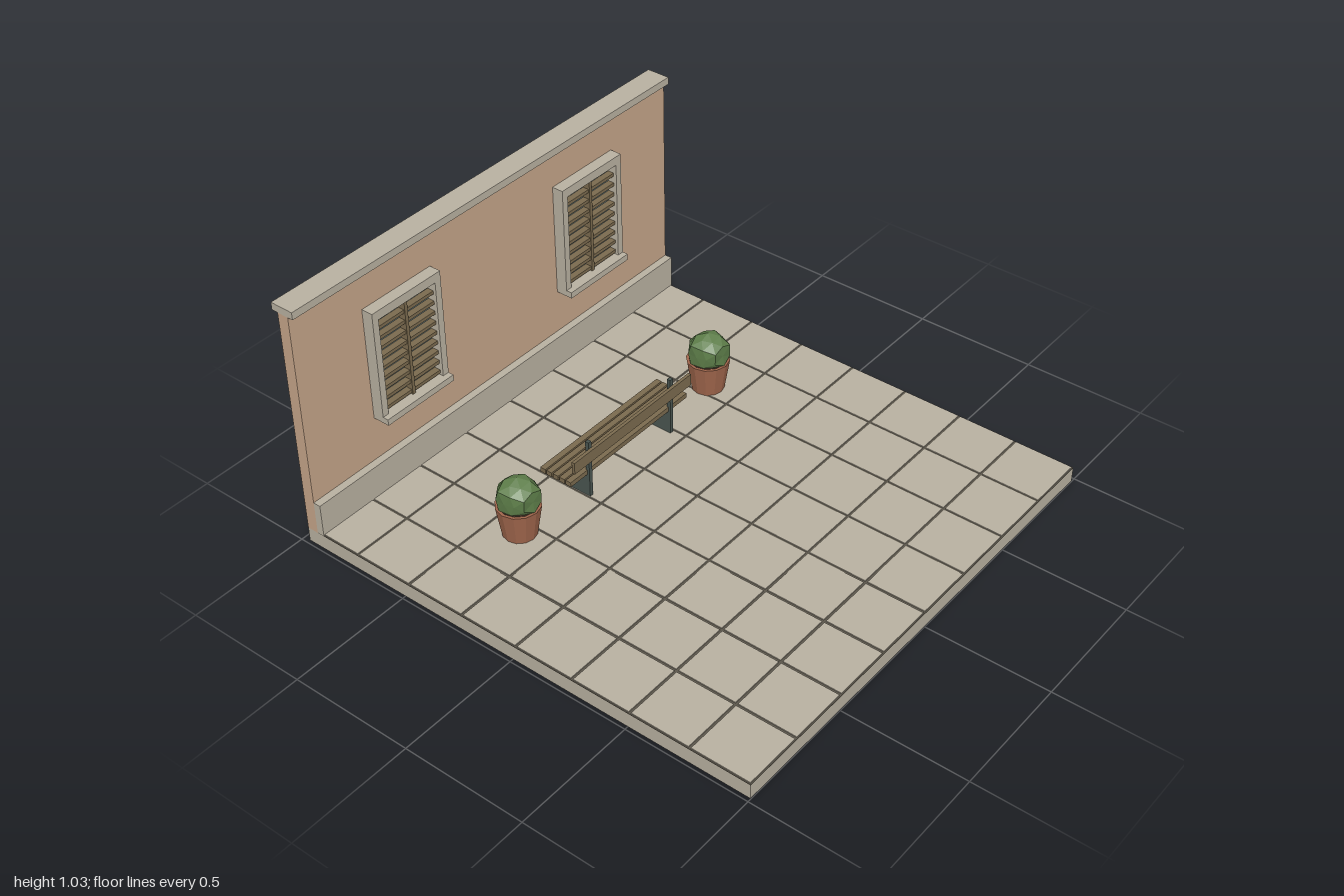
import * as THREE from 'three';

const mat = (color, flat = false) => new THREE.MeshStandardMaterial({ color, flatShading: flat });
const stone = mat(0xb8b0a0), plaster = mat(0xc4a488), grout = mat(0x5a554a), wood = mat(0x7a6a4e);
const metal = mat(0x4a5550), glass = mat(0x64787a), clay = mat(0xa0664c, true), soil = mat(0x4a3a2c);
const leaf = mat(0x5c7c48, true);

// Box given by its min/max extents on each axis
function box(parent, name, m, [x0, x1], [y0, y1], [z0, z1]) {
  const mesh = new THREE.Mesh(new THREE.BoxGeometry(x1 - x0, y1 - y0, z1 - z0), m);
  mesh.position.set((x0 + x1) / 2, (y0 + y1) / 2, (z0 + z1) / 2);
  mesh.name = name;
  parent.add(mesh);
  return mesh;
}

function group(parent, name) {
  const g = new THREE.Group();
  g.name = name;
  parent.add(g);
  return g;
}

// Paved floor: slab, dark joint layer and a grid of square tiles
function addFloor(root) {
  const g = group(root, 'floor');
  const W = 0.985, back = -0.973, front = 0.998, n = 8, pitch = 2 * W / n, gap = 0.005;
  box(g, 'slab', stone, [-W, W], [0, 0.06], [back, front]);
  box(g, 'joints', grout, [-W, W], [0.06, 0.0625], [back + 0.05, front]);
  for (let i = 0; i < n; i++) {
    for (let j = 0; j < n; j++) {
      const x = -W + i * pitch, z = front - (j + 1) * pitch;
      box(g, 'tile', stone, [x + gap, x + pitch - gap], [0.0625, 0.066],
        [Math.max(z + gap, -0.92), z + pitch - gap]);
    }
  }
}

// Rear wall with plinth and coping
function addWall(root) {
  const g = group(root, 'wall');
  const X = [-0.985, 0.985];
  box(g, 'wallPanel', plaster, X, [0.06, 1.0], [-0.973, -0.925]);
  box(g, 'plinth', stone, X, [0.06, 0.2], [-0.925, -0.894]);
  box(g, 'coping', stone, X, [1.0, 1.03], [-1.0, -0.902]);
}

// Louvred window: stone surround, glass pane, horizontal slats and centre post
function addWindow(root, x) {
  const g = group(root, 'window');
  g.position.x = x;
  const w = 0.168, inner = 0.14;
  box(g, 'lintel', stone, [-w, w], [0.815, 0.852], [-0.925, -0.877]);
  box(g, 'sill', stone, [-w, w], [0.38, 0.406], [-0.925, -0.853]);
  for (const s of [-1, 1]) {
    const xs = [s * inner, s * w].sort((a, b) => a - b);
    box(g, 'jamb', stone, xs, [0.406, 0.815], [-0.925, -0.877]);
  }
  box(g, 'pane', glass, [-inner, inner], [0.406, 0.815], [-0.925, -0.917]);
  box(g, 'centrePost', wood, [-0.007, 0.007], [0.406, 0.815], [-0.917, -0.886]);
  for (let i = 0; i < 9; i++) {
    const y = 0.42 + i * 0.0436;
    box(g, 'slat', wood, [-inner, inner], [y - 0.007, y + 0.007], [-0.917, -0.89]);
  }
}

// Slatted bench facing the wall, with its backrest on the open side
function addBench(root) {
  const g = group(root, 'bench');
  const L = [-0.332, 0.332];
  for (let i = 0; i < 5; i++) {
    const z = -0.443 + i * 0.03;
    box(g, 'seatSlat', wood, L, [0.165, 0.185], [z, z + 0.024]);
  }
  box(g, 'backrest', wood, L, [0.235, 0.285], [-0.29, -0.277]);
  for (const x of [-0.232, 0.232]) {
    const X = [x - 0.008, x + 0.008];
    box(g, 'legPlate', metal, X, [0.064, 0.165], [-0.43, -0.305]);
    box(g, 'backPost', metal, X, [0.064, 0.313], [-0.305, -0.29]);
  }
}

// Terracotta pot with a clipped, faceted shrub
function addPlanter(root, x) {
  const g = group(root, 'planter');
  g.position.set(x, 0.064, -0.36);
  const pot = new THREE.Mesh(new THREE.CylinderGeometry(0.085, 0.064, 0.134, 12), clay);
  pot.position.y = 0.067;
  pot.name = 'pot';
  const earth = new THREE.Mesh(new THREE.CylinderGeometry(0.074, 0.074, 0.006, 12), soil);
  earth.position.y = 0.133;
  earth.name = 'soil';

  // Push each vertex in or out by a hash of its position so shared corners stay joined
  const geo = new THREE.IcosahedronGeometry(0.083, 1);
  const p = geo.attributes.position, v = new THREE.Vector3();
  for (let i = 0; i < p.count; i++) {
    v.fromBufferAttribute(p, i);
    const [a, b, c] = v.toArray().map((n) => Math.round(n * 1000));
    const h = Math.sin(a * 12.99 + b * 78.23 + c * 37.72) * 43758.5;
    v.multiplyScalar(0.86 + 0.24 * (h - Math.floor(h)));
    p.setXYZ(i, v.x, v.y * 0.95, v.z);
  }
  geo.computeVertexNormals();
  const shrub = new THREE.Mesh(geo, leaf);
  shrub.position.y = 0.178;
  shrub.name = 'shrub';
  g.add(pot, earth, shrub);
}

export function createModel() {
  const root = new THREE.Group();
  root.name = 'courtyard';
  addFloor(root);
  addWall(root);
  addBench(root);
  for (const s of [-1, 1]) {
    addWindow(root, s * 0.495);
    addPlanter(root, s * 0.542);
  }
  return root;
}
